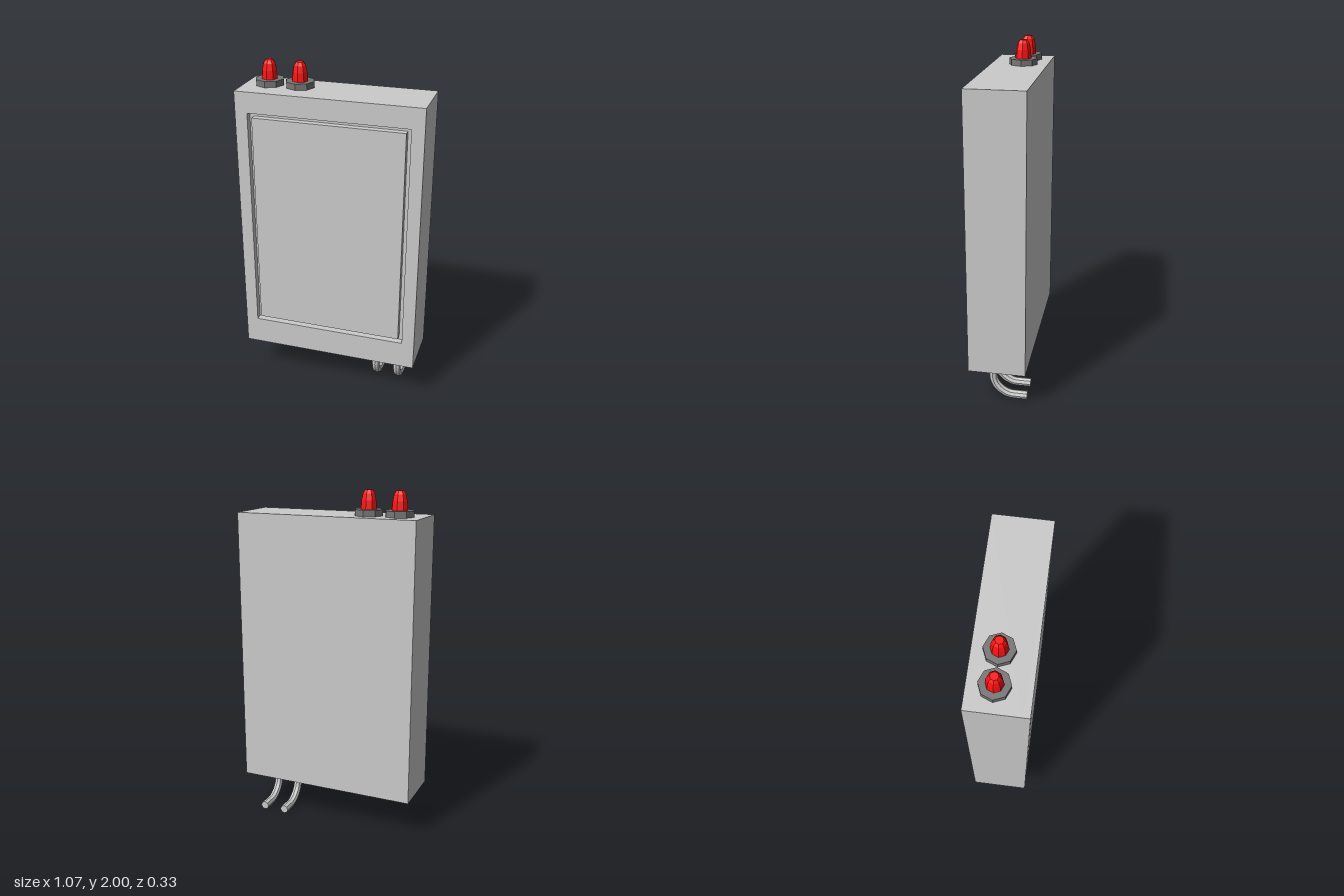
import * as THREE from 'three';

const grey = new THREE.MeshStandardMaterial({ color: 0xcccccc });
const greyFacet = new THREE.MeshStandardMaterial({ color: 0xcccccc, flatShading: true });
const darkFacet = new THREE.MeshStandardMaterial({ color: 0x777777, flatShading: true });
const redFacet = new THREE.MeshStandardMaterial({ color: 0xff1010, flatShading: true });

const W = 1.07, BOTTOM = 0.235, TOP = 1.86, DEPTH = 0.33, GROOVE = 0.04;
const FRONT = DEPTH / 2;

function add(parent, name, geometry, material, x = 0, y = 0, z = 0) {
  const mesh = new THREE.Mesh(geometry, material);
  mesh.name = name;
  mesh.position.set(x, y, z);
  parent.add(mesh);
  return mesh;
}

function rectangle(path, x0, y0, x1, y1) {
  path.moveTo(x0, y0);
  path.lineTo(x1, y0);
  path.lineTo(x1, y1);
  path.lineTo(x0, y1);
  path.closePath();
  return path;
}

// Cabinet: solid core, front frame and a flush door separated by a groove
function cabinet() {
  const group = new THREE.Group();
  group.name = 'cabinet';
  const h = TOP - BOTTOM, mid = (TOP + BOTTOM) / 2;
  add(group, 'cabinetCore', new THREE.BoxGeometry(W, h, DEPTH - GROOVE), grey, 0, mid, -GROOVE / 2);
  const shape = rectangle(new THREE.Shape(), -W / 2, BOTTOM, W / 2, TOP);
  shape.holes.push(rectangle(new THREE.Path(), -0.463, 0.4, 0.461, 1.74));
  add(group, 'frontFrame', new THREE.ExtrudeGeometry(shape, { depth: GROOVE, bevelEnabled: false }),
    grey, 0, 0, FRONT - GROOVE);
  add(group, 'doorPanel', new THREE.BoxGeometry(0.874, 1.29, GROOVE), grey, -0.001, 1.07, FRONT - GROOVE / 2);
  return group;
}

// Warning lamp: octagonal base with a faceted bulb
function lamp(x) {
  const group = new THREE.Group();
  group.name = 'warningLamp';
  group.position.set(x, TOP, -0.023);
  add(group, 'lampBase', new THREE.CylinderGeometry(0.083, 0.083, 0.035, 8), darkFacet, 0, 0.0175, 0);
  const profile = [[0.047, 0.035], [0.043, 0.085], [0.035, 0.122], [0.022, 0.14], [0, 0.14]]
    .map(([r, y]) => new THREE.Vector2(r, y));
  add(group, 'lampBulb', new THREE.LatheGeometry(profile, 8), redFacet);
  return group;
}

// Cable conduit: collar under the cabinet, pipe bending towards the back
function conduit(x) {
  const group = new THREE.Group();
  group.name = 'conduit';
  group.position.set(x, 0, 0.043);
  add(group, 'conduitCollar', new THREE.CylinderGeometry(0.042, 0.042, 0.026, 8), greyFacet, 0, BOTTOM - 0.013, 0);

  const y = 0.03, r = 0.12, end = -0.203, k = r * 0.448;
  const v = (py, pz) => new THREE.Vector3(0, py, pz);
  const path = new THREE.CurvePath();
  path.add(new THREE.LineCurve3(v(BOTTOM, 0), v(y + r, 0)));
  path.add(new THREE.CubicBezierCurve3(v(y + r, 0), v(y + k, 0), v(y, -r + k), v(y, -r)));
  path.add(new THREE.LineCurve3(v(y, -r), v(y, end)));
  add(group, 'conduitPipe', new THREE.TubeGeometry(path, 18, 0.025, 8), greyFacet);
  const cap = add(group, 'conduitEnd', new THREE.CircleGeometry(0.025, 8), greyFacet, 0, y, end);
  cap.rotation.y = Math.PI;
  return group;
}

export function createModel() {
  const model = new THREE.Group();
  model.name = 'electricalCabinet';
  model.add(cabinet());
  for (const x of [-0.395, -0.215]) model.add(lamp(x));
  for (const x of [0.276, 0.412]) model.add(conduit(x));
  return model;
}
